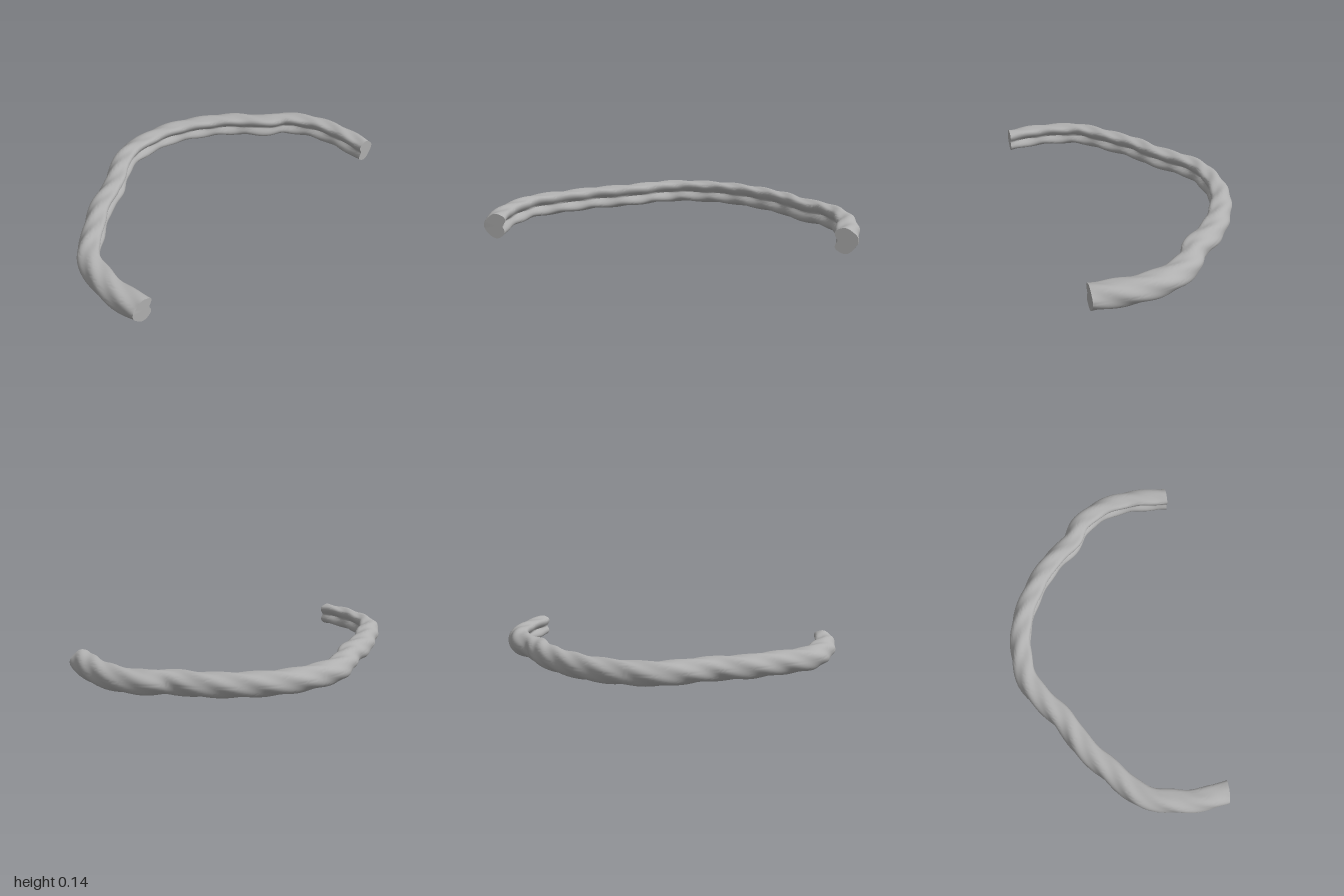
import * as THREE from 'three';
import { toCreasedNormals } from 'three/addons/utils/BufferGeometryUtils.js';

// Centre line seen from above, as x, z pairs from the right end to the left end
const PATH = [
  [-0.908, 0.542], [-0.932, 0.4], [-0.922, 0.25], [-0.87, 0.08], [-0.72, -0.065],
  [-0.56, -0.2], [-0.4, -0.287], [-0.28, -0.38], [-0.15, -0.462], [0, -0.486],
  [0.2, -0.468], [0.4, -0.383], [0.57, -0.262], [0.7, -0.115], [0.81, -0.045],
  [0.9, 0.1], [0.932, 0.25], [0.93, 0.4], [0.922, 0.492],
];
const RINGS = 240, SIDES = 48, RADIUS = 0.0645, MID = 0.07;

const bell = (x, centre, width) => Math.exp(-(((x - centre) / width) ** 2));

// Round outside, hollow inside with two lips, and fine ridges winding around
function radiusAt(theta, s) {
  const a = Math.abs(theta);
  const hollow = 0.5 * bell(a, Math.PI, 0.5);
  const lip = (theta > 0 ? 0.17 : 0.06) * bell(a, 2.4, 0.35);
  const ridges = 0.055 * Math.cos(4 * theta - 31 * s);
  return RADIUS * (1 - hollow + lip + ridges);
}

function twistedBand() {
  const curve = new THREE.CatmullRomCurve3(PATH.map(([x, z]) => new THREE.Vector3(x, MID, z)));
  curve.arcLengthDivisions = 600;
  const length = curve.getLength();
  const positions = [], index = [];
  for (let i = 0; i <= RINGS; i++) {
    const u = i / RINGS;
    const c = curve.getPointAt(u), t = curve.getTangentAt(u);
    if (i === 0) t.set(0, 0, -1); // both ends are cut square
    if (i === RINGS) t.set(0, 0, 1);
    for (let j = 0; j < SIDES; j++) {
      const theta = (j / SIDES) * Math.PI * 2 - Math.PI;
      const r = radiusAt(theta, u * length);
      const out = r * Math.cos(theta);
      positions.push(c.x + t.z * out, c.y + r * Math.sin(theta), c.z - t.x * out);
      if (i === RINGS) continue;
      const k = (j + 1) % SIDES;
      const a = i * SIDES + j, b = i * SIDES + k;
      index.push(a, b, a + SIDES, b, b + SIDES, a + SIDES);
    }
  }
  // End caps
  for (const [u, ring] of [[0, 0], [1, RINGS]]) {
    const c = curve.getPointAt(u), hub = positions.length / 3;
    positions.push(c.x, c.y, c.z);
    for (let j = 0; j < SIDES; j++) {
      const a = ring * SIDES + j, b = ring * SIDES + ((j + 1) % SIDES);
      if (u === 0) index.push(hub, b, a);
      else index.push(hub, a, b);
    }
  }
  const geometry = new THREE.BufferGeometry();
  geometry.setAttribute('position', new THREE.Float32BufferAttribute(positions, 3));
  geometry.setIndex(index);
  return toCreasedNormals(geometry, 0.8);
}

export function createModel() {
  const group = new THREE.Group();
  group.name = 'openBangle';
  const metal = new THREE.MeshStandardMaterial({ color: 0xb0b0b0 });
  metal.name = 'greyMetal';
  const band = new THREE.Mesh(twistedBand(), metal);
  band.name = 'twistedBand';
  group.add(band);
  return group;
}
